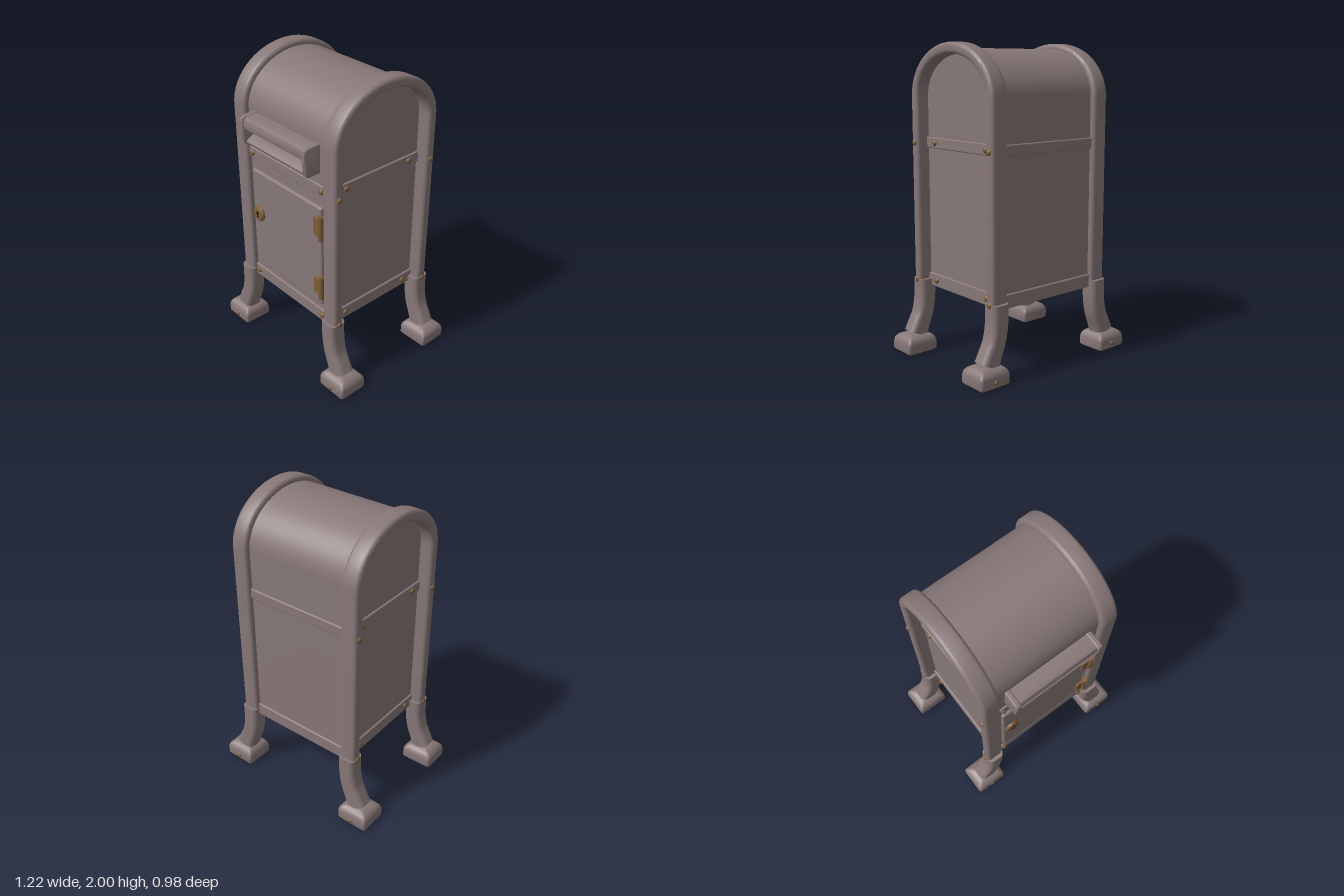
import * as THREE from 'three';
import { toCreasedNormals } from 'three/addons/utils/BufferGeometryUtils.js';
import { RoundedBoxGeometry } from 'three/addons/geometries/RoundedBoxGeometry.js';

const flat = (name, color) => Object.assign(new THREE.MeshStandardMaterial({ color }), { name });

// Extrude a (z, y) outline sideways along x, centred on x = 0
function sideExtrude(shape, width, bevel) {
  const g = new THREE.ExtrudeGeometry(shape, {
    depth: width - 2 * bevel, bevelEnabled: bevel > 0, bevelSize: bevel, bevelOffset: -bevel,
    bevelThickness: bevel, bevelSegments: 4, curveSegments: 32,
  });
  g.translate(0, 0, -(width / 2 - bevel));
  g.rotateY(-Math.PI / 2);
  return toCreasedNormals(g, 0.6);
}

// Straight sides with an elliptical top
const SPRING = 1.67;
function archShape(rz, ry, bottom) {
  const s = new THREE.Shape();
  s.moveTo(-rz, bottom);
  s.lineTo(rz, bottom);
  s.lineTo(rz, SPRING);
  s.absellipse(0, SPRING, rz, ry, 0, Math.PI, false, 0);
  s.closePath();
  return s;
}

// Upside-down U for the side frames
function frameShape() {
  const s = new THREE.Shape();
  s.moveTo(0.34, 0.435);
  s.lineTo(0.41, 0.435);
  s.lineTo(0.41, SPRING);
  s.absellipse(0, SPRING, 0.41, 0.33, 0, Math.PI, false, 0);
  s.lineTo(-0.41, 0.435);
  s.lineTo(-0.34, 0.435);
  s.lineTo(-0.34, SPRING);
  s.absellipse(0, SPRING, 0.34, 0.26, Math.PI, 0, true, 0);
  s.closePath();
  return s;
}

// Rounded rectangle points, counter-clockwise
function roundedRect(hw, hd, r, n = 6) {
  const pts = [];
  [[1, 1], [-1, 1], [-1, -1], [1, -1]].forEach(([sx, sy], q) => {
    for (let i = 0; i <= n; i++) {
      const a = (q + i / n) * Math.PI / 2;
      pts.push([sx * (hw - r) + r * Math.cos(a), sy * (hd - r) + r * Math.sin(a)]);
    }
  });
  return pts;
}

// Skin between rings ordered from bottom to top, closed with flat caps
function loft(rings) {
  const n = rings[0].length, pos = rings.flat(2), idx = [];
  for (let r = 0; r < rings.length - 1; r++) for (let i = 0; i < n; i++) {
    const a = r * n + i, b = r * n + (i + 1) % n;
    idx.push(a, a + n, b, b, a + n, b + n);
  }
  [rings[0], rings[rings.length - 1]].forEach((ring, top) => {
    const base = pos.length / 3;
    pos.push(...ring.flat());
    for (let i = 1; i < n - 1; i++) {
      if (top) idx.push(base, base + i + 1, base + i);
      else idx.push(base, base + i, base + i + 1);
    }
  });
  const g = new THREE.BufferGeometry();
  g.setAttribute('position', new THREE.Float32BufferAttribute(pos, 3));
  g.setIndex(idx);
  g.computeVertexNormals();
  return g;
}

// Leg that curves outward to +x
function legGeometry() {
  const path = new THREE.CatmullRomCurve3([
    [0.492, 0.112], [0.468, 0.17], [0.435, 0.25], [0.418, 0.34], [0.414, 0.42], [0.414, 0.478],
  ].map(([x, y]) => new THREE.Vector3(x, y, 0)));
  const rings = [];
  for (let k = 0; k <= 18; k++) {
    const t = k / 18, p = path.getPoint(t), d = path.getTangent(t);
    const hw = 0.06 + 0.008 * Math.max(0, 1 - t * 3);
    rings.push(roundedRect(hw, 0.059, 0.035).map(([u, v]) => [p.x + u * d.y, p.y - u * d.x, v]));
  }
  return loft(rings);
}

// Foot block with rounded shoulders
function footGeometry() {
  return loft([[0, 0.01], [0.01, 0], [0.062, 0], [0.085, 0.006], [0.102, 0.02], [0.112, 0.038], [0.117, 0.055]]
    .map(([y, inset]) => roundedRect(0.11 - inset, 0.1 - inset, 0.018)
      .map(([u, v]) => [0.5 + u, y, v])));
}

export function createModel() {
  const root = new THREE.Group();
  root.name = 'mailbox';
  const paint = flat('body paint', 0x877777);
  const brass = flat('brass', 0x7d5c38);
  const dark = flat('slot dark', 0x24263a);
  const black = flat('keyhole black', 0x15120f);

  const add = (name, geo, mat, x = 0, y = 0, z = 0, parent = root) => {
    const m = new THREE.Mesh(geo, mat);
    m.name = name;
    m.position.set(x, y, z);
    parent.add(m);
    return m;
  };
  const box = (name, mat, w, h, d, x, y, z, r = 0) =>
    add(name, r ? new RoundedBoxGeometry(w, h, d, 3, r) : new THREE.BoxGeometry(w, h, d), mat, x, y, z);

  // Body shell with sunken side panels, floor and arched side frames
  add('body', sideExtrude(archShape(0.375, 0.295, 0.437), 0.77, 0), paint);
  box('floor', paint, 0.74, 0.02, 0.7, 0, 0.44, 0);
  const frame = sideExtrude(frameShape(), 0.117, 0.024);
  for (const s of [1, -1]) add('sideFrame', frame, paint, s * 0.4135);

  // Raised bands around the body
  for (const [y, h] of [[1.376, 0.07], [0.474, 0.088]]) {
    for (const s of [1, -1]) {
      box('crossBand', paint, 0.74, h, 0.03, 0, y, s * 0.373, 0.008);
      box('sideBand', paint, 0.03, h, 0.7, s * 0.383, y, 0, 0.008);
    }
  }

  // Domed bolts
  const dome = new THREE.SphereGeometry(0.02, 14, 6, 0, Math.PI * 2, 0, Math.PI / 2);
  dome.scale(1, 0.7, 1);
  const bolt = (x, y, z, nx, nz, size = 1) => {
    const m = add('bolt', dome, brass, x, y, z);
    m.quaternion.setFromUnitVectors(new THREE.Vector3(0, 1, 0), new THREE.Vector3(nx, 0, nz));
    m.scale.setScalar(size);
  };
  for (const s of [1, -1]) for (const y of [1.376, 0.476]) {
    bolt(s * 0.325, y, 0.388, 0, 1);
    for (const e of [1, -1]) {
      bolt(s * 0.47, y, e * 0.375, s, 0);
      bolt(s * 0.398, y, e * 0.257, s, 0);
    }
  }

  // Legs and feet
  const legGeo = legGeometry(), footGeo = footGeometry();
  for (const s of [1, -1]) for (const e of [1, -1]) {
    const corner = new THREE.Group();
    corner.name = 'legAndFoot';
    corner.position.z = e * 0.375;
    corner.rotation.y = s > 0 ? 0 : Math.PI;
    root.add(corner);
    add('leg', legGeo, paint, 0, 0, 0, corner);
    add('foot', footGeo, paint, 0, 0, 0, corner);
    bolt(s * 0.5, 0.037, e * 0.474, 0, e, 0.85);
  }

  // Door with hinges
  box('door', paint, 0.665, 0.705, 0.04, -0.001, 0.914, 0.376, 0.016);
  box('doorJamb', paint, 0.012, 0.705, 0.02, 0.35, 0.914, 0.375);
  for (const y of [1.136, 0.706]) {
    box('hingePlate', brass, 0.06, 0.125, 0.02, 0.305, y, 0.4, 0.004);
    add('hingeBarrel', new THREE.CylinderGeometry(0.019, 0.019, 0.15, 16), brass, 0.338, y, 0.406);
    for (const s of [1, -1])
      add('hingeCap', new THREE.CylinderGeometry(0.014, 0.014, 0.01, 16), brass, 0.338, y + s * 0.079, 0.406);
  }

  // Lock with keyhole
  const disc = new THREE.LatheGeometry(
    [[0.052, 0], [0.052, 0.012], [0.046, 0.018], [0.038, 0.021], [0, 0.023]].map(([r, h]) => new THREE.Vector2(r, h)), 32);
  disc.rotateX(Math.PI / 2);
  add('lock', disc, brass, -0.268, 0.961, 0.395);
  add('keyholeTop', new THREE.CylinderGeometry(0.012, 0.012, 0.006, 16).rotateX(Math.PI / 2), black, -0.268, 0.968, 0.417);
  box('keyholeSlot', black, 0.009, 0.03, 0.006, -0.268, 0.953, 0.417);

  // Letter slot: end cheeks, hood, sloping lip and dark opening
  const outline = pts => new THREE.Shape(pts.map(([z, y]) => new THREE.Vector2(z, y)));
  const cheek = sideExtrude(outline([[0.36, 1.48], [0.465, 1.48], [0.475, 1.492],
    [0.491, 1.63], [0.484, 1.653], [0.46, 1.665], [0.36, 1.668]]), 0.036, 0.009);
  for (const s of [1, -1]) add('slotCheek', cheek, paint, s * 0.287);
  add('slotHood', sideExtrude(outline([[0.36, 1.572], [0.455, 1.572], [0.474, 1.586], [0.482, 1.62],
    [0.472, 1.647], [0.45, 1.66], [0.36, 1.661]]), 0.556, 0), paint);
  add('slotLip', sideExtrude(outline([[0.36, 1.483], [0.46, 1.483], [0.466, 1.5],
    [0.458, 1.508], [0.405, 1.536], [0.36, 1.536]]), 0.556, 0), paint);
  box('slotOpening', dark, 0.55, 0.08, 0.04, 0, 1.555, 0.384);

  return root;
}
